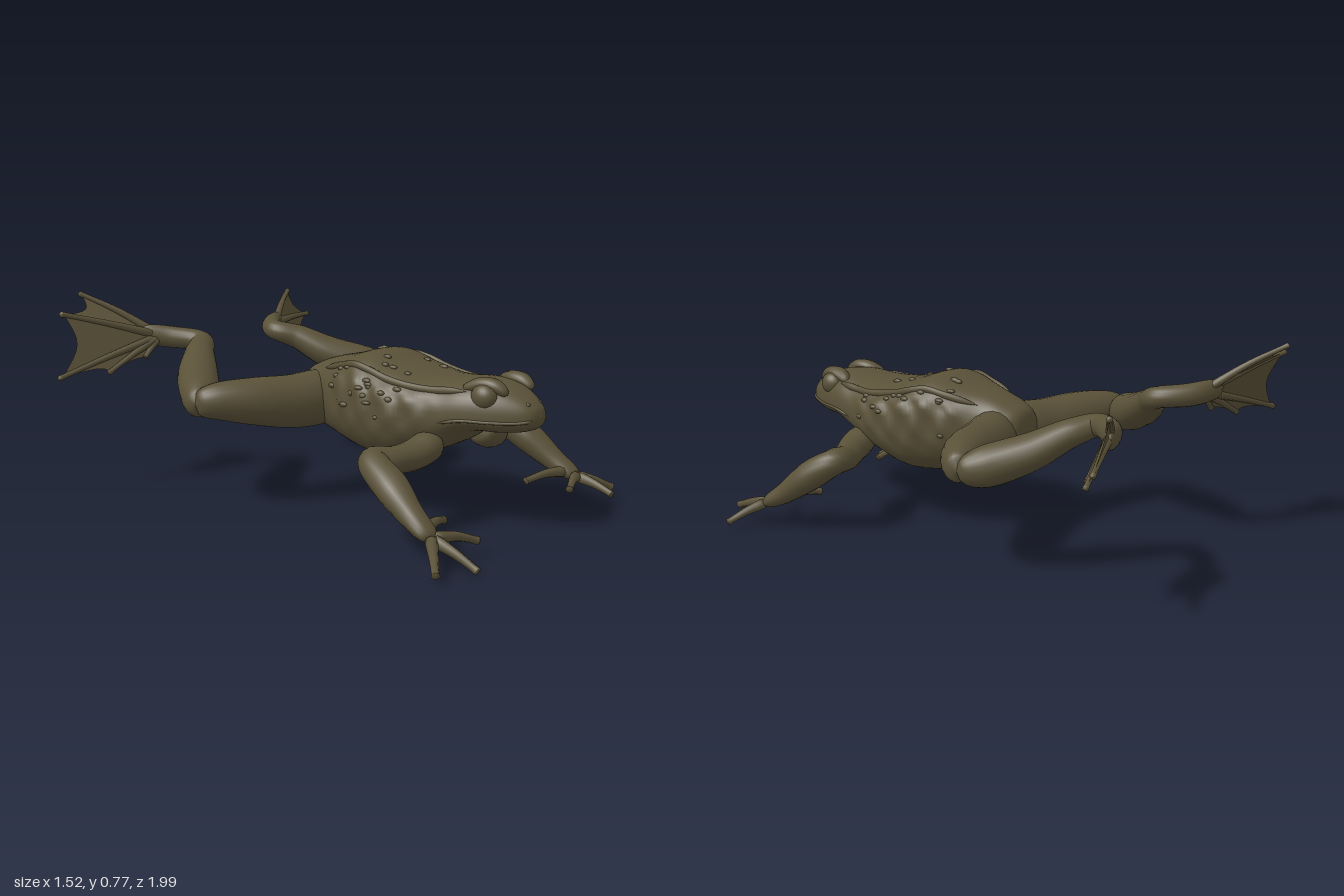
import * as THREE from 'three';

const skin = new THREE.MeshStandardMaterial({ color: 0x5a5138, roughness: 0.85 });
const webSkin = new THREE.MeshStandardMaterial({ color: 0x5a5138, roughness: 0.85, side: THREE.DoubleSide });
const V = (p) => new THREE.Vector3(...p);
const mix = (a, b, k) => V(a).lerp(V(b), k).toArray();
const spline = (pts) => new THREE.CatmullRomCurve3(pts.map(V), false, 'catmullrom', 0.5);

function addMesh(parent, name, geo, mat = skin) {
  const m = new THREE.Mesh(geo, mat);
  m.name = name;
  parent.add(m);
  return m;
}

function buildGeometry(pos, idx) {
  const g = new THREE.BufferGeometry();
  g.setAttribute('position', new THREE.Float32BufferAttribute(pos, 3));
  g.setIndex(idx);
  g.computeVertexNormals();
  return g;
}

// Skin a tube over closed cross-sections; point(t, a) gives the surface.
function loft(point, steps, sides) {
  const pos = [], idx = [];
  for (let i = 0; i <= steps; i++) {
    for (let j = 0; j < sides; j++) {
      pos.push(...point(i / steps, (j / sides) * Math.PI * 2).toArray());
      if (i === steps) continue;
      const a = i * sides + j, b = i * sides + ((j + 1) % sides);
      idx.push(a, a + sides, b, b, a + sides, b + sides);
    }
  }
  return buildGeometry(pos, idx);
}

// Limb from [x, y, z, sideRadius, upRadius] stations, with rounded ends.
function limb(stations, steps = 28, sides = 14) {
  const path = spline(stations.map((s) => s.slice(0, 3)));
  const radii = spline(stations.map((s) => [s[3], s[4] ?? s[3], 0]));
  const up = new THREE.Vector3(0, 1, 0);
  return loft((t, a) => {
    const T = path.getTangent(t), r = radii.getPoint(t);
    const side = T.clone().cross(up).normalize(), top = side.clone().cross(T);
    const end = Math.sqrt(Math.max(0, 1 - Math.pow(Math.abs(2 * t - 1), 14)));
    return path.getPoint(t)
      .addScaledVector(side, Math.cos(a) * r.x * end)
      .addScaledVector(top, Math.sin(a) * r.y * end);
  }, steps, sides);
}

// Body stations from snout to rump: z, half width, widest y, bottom y, top y
const BODY = [
  [0.9, 0, 0.435, 0.435, 0.435], [0.885, 0.048, 0.43, 0.398, 0.472], [0.84, 0.088, 0.425, 0.378, 0.508],
  [0.76, 0.132, 0.425, 0.368, 0.542], [0.66, 0.168, 0.425, 0.36, 0.552], [0.56, 0.188, 0.41, 0.3, 0.545],
  [0.45, 0.215, 0.4, 0.25, 0.545], [0.32, 0.23, 0.4, 0.208, 0.572], [0.2, 0.222, 0.42, 0.212, 0.605],
  [0.08, 0.185, 0.42, 0.235, 0.578], [-0.03, 0.14, 0.42, 0.262, 0.553], [-0.11, 0.12, 0.41, 0.285, 0.525],
  [-0.165, 0.08, 0.4, 0.31, 0.49], [-0.18, 0, 0.41, 0.41, 0.41],
];
const bodyA = spline(BODY.map((s) => [s[0], s[1], s[2]]));
const bodyB = spline(BODY.map((s) => [s[3], s[4], 0]));

function bodyPoint(t, a) {
  const A = bodyA.getPoint(t), B = bodyB.getPoint(t);
  const c = Math.cos(a), s = Math.sin(a);
  // loose, lumpy skin on the flanks and a squarer, flatter back behind the head
  const trunk = THREE.MathUtils.smoothstep(t, 0.35, 0.5) * (1 - THREE.MathUtils.smoothstep(t, 0.66, 0.78));
  const flank = Math.max(0, 1 - Math.abs(s - 0.2) * 1.4) * trunk;
  const w = Math.max(0, A.y) * (1 + flank * (0.02 + 0.06 * Math.sin(t * 85 + 3 * s) * Math.cos(a * 9)));
  const h = s > 0 ? (B.y - A.z) * Math.pow(s, 0.85 - 0.2 * trunk) : (B.x - A.z) * Math.pow(-s, 0.9);
  return new THREE.Vector3(w * Math.sign(c) * Math.pow(Math.abs(c), 0.8), A.z + h, A.x);
}

function ridge(t0, t1, angle, r) {
  const st = [];
  for (let i = 0; i <= 10; i++) {
    const t = t0 + ((t1 - t0) * i) / 10;
    st.push([...bodyPoint(t, angle).toArray(), i === 0 || i === 10 ? r * 0.3 : r]);
  }
  return limb(st, 40, 8);
}

// Arched digit with a slightly swollen tip
function digit(base, tip, r, lift) {
  const at = (k, y) => V(mix(base, tip, k)).add(new THREE.Vector3(0, y, 0)).toArray();
  return limb([[...base, r * 1.6], [...at(0.5, lift), r * 1.1], [...at(0.88, lift * 0.4), r * 0.85], [...tip, r * 1.1]], 16, 8);
}

// Web between neighbouring toes, with a hollow outer edge
function web(base, a, b, reach) {
  const n = 8, pos = [], idx = [];
  for (let i = 0; i <= n; i++) {
    const k = i / n, pull = 0.95 - (0.95 - reach) * Math.sin(Math.PI * k);
    const edge = mix(base, mix(a, b, k), pull);
    for (const q of [0, 0.5, 1]) pos.push(...mix(base, edge, q));
    if (i < n) for (let j = 0; j < 2; j++) {
      const p = i * 3 + j;
      idx.push(p, p + 1, p + 3, p + 1, p + 4, p + 3);
    }
  }
  return buildGeometry(pos, idx);
}

// The two sides are posed differently
const SIDES = [
  {
    name: 'left', s: 1,
    elbow: [0.425, 0.29, 0.44], mid: [0.47, 0.228, 0.53], wrist: [0.498, 0.145, 0.64], palm: [0.518, 0.09, 0.735],
    fingers: [[0.665, 0.033, 0.8], [0.512, 0.05, 0.892], [0.352, 0.085, 0.8], [0.298, 0.1, 0.635]],
    ankle: [0.24, 0.565, -0.635], tarsus: [0.32, 0.572, -0.735], sole: [0.44, 0.575, -0.805],
    toes: [[0.563, 0.69, -0.875], [0.757, 0.558, -0.935], [0.63, 0.465, -0.83], [0.55, 0.46, -0.785], [0.47, 0.5, -0.765]],
  },
  {
    name: 'right', s: -1,
    elbow: [-0.42, 0.285, 0.49], mid: [-0.462, 0.222, 0.61], wrist: [-0.488, 0.15, 0.72], palm: [-0.502, 0.09, 0.82],
    fingers: [[-0.642, 0.027, 0.942], [-0.482, 0.014, 0.993], [-0.315, 0.055, 0.868], [-0.303, 0.095, 0.71]],
    ankle: [-0.215, 0.572, -0.615], tarsus: [-0.275, 0.585, -0.72], sole: [-0.385, 0.605, -0.8],
    toes: [[-0.533, 0.765, -0.992], [-0.692, 0.704, -0.91], [-0.762, 0.46, -0.84], [-0.565, 0.465, -0.775], [-0.4, 0.51, -0.745]],
  },
];

export function createModel() {
  const frog = new THREE.Group();
  frog.name = 'frog';
  addMesh(frog, 'body', loft(bodyPoint, 110, 48));

  for (const d of SIDES) {
    const { s, name } = d;
    const flip = (a) => (s > 0 ? a : Math.PI - a);

    // Head details: eye, lid, nostril and lip
    const eye = addMesh(frog, name + 'Eye', new THREE.SphereGeometry(1, 24, 16));
    eye.position.set(s * 0.108, 0.503, 0.73);
    eye.scale.set(0.04, 0.046, 0.05);
    addMesh(frog, name + 'EyeLid', limb([[s * 0.078, 0.515, 0.81, 0.014], [s * 0.084, 0.54, 0.76, 0.03, 0.026],
      [s * 0.092, 0.54, 0.7, 0.032, 0.026], [s * 0.115, 0.52, 0.64, 0.014]], 20, 12));
    const nostril = addMesh(frog, name + 'Nostril', new THREE.SphereGeometry(0.009, 10, 8));
    nostril.position.set(s * 0.035, 0.48, 0.865);
    addMesh(frog, name + 'Lip', ridge(0.06, 0.37, flip(-0.12), 0.006));

    // Fold of skin along the back
    addMesh(frog, name + 'BackFold', ridge(0.3, 0.76, flip(0.75), 0.014));

    // Arm and hand
    const arm = new THREE.Group();
    arm.name = name + 'Arm';
    frog.add(arm);
    addMesh(arm, 'arm', limb([[s * 0.12, 0.325, 0.535, 0.07, 0.065], [s * 0.23, 0.285, 0.52, 0.062, 0.056],
      [s * 0.34, 0.282, d.elbow[2] + 0.02, 0.055, 0.05], [...d.elbow, 0.055, 0.052], [...d.mid, 0.064, 0.058],
      [...d.wrist, 0.048, 0.042], [...d.palm, 0.048, 0.028]], 60, 16));
    d.fingers.forEach((f, i) => {
      const root = mix(d.palm, d.wrist, i === 3 ? 0.4 : 0.1);
      addMesh(arm, 'finger', digit(root, f, 0.016, i > 1 ? 0.012 : 0.006));
    });

    // Thigh, shin and webbed foot
    const leg = new THREE.Group();
    leg.name = name + 'Leg';
    frog.add(leg);
    addMesh(leg, 'thigh', limb([[s * 0.02, 0.4, -0.06, 0.1, 0.115], [s * 0.2, 0.39, -0.105, 0.1, 0.105],
      [s * 0.36, 0.406, -0.157, 0.092, 0.092], [s * 0.48, 0.417, -0.215, 0.072, 0.074],
      [s * 0.565, 0.41, -0.265, 0.042, 0.052]], 36, 20));
    addMesh(leg, 'shinAndFoot', limb([[s * 0.565, 0.41, -0.262, 0.042, 0.052], [s * 0.48, 0.42, -0.33, 0.074, 0.076],
      [s * 0.38, 0.47, -0.45, 0.08, 0.068], [d.ankle[0] + s * 0.06, 0.535, -0.555, 0.06, 0.052], [...d.ankle, 0.046, 0.042],
      [...d.tarsus, 0.04, 0.044], [...d.sole, 0.016, 0.045]], 64, 18));
    const root = mix(d.tarsus, d.sole, 0.35);
    d.toes.forEach((t, i) => {
      addMesh(leg, 'toe', digit(root, t, 0.012, i ? 0.004 : 0.012));
      if (i) addMesh(leg, 'web', web(root, d.toes[i - 1], t, 0.82), webSkin);
    });
  }

  // Low warts scattered over the back and flanks
  let seed = 7;
  const rnd = () => (seed = (seed * 16807) % 2147483647) / 2147483647;
  const wartGeo = new THREE.SphereGeometry(1, 10, 8);
  for (let i = 0; i < 40; i++) {
    const a = -0.1 + rnd() * (i < 24 ? 0.8 : 1.6);
    const wart = addMesh(frog, 'wart', wartGeo);
    wart.position.copy(bodyPoint(0.42 + rnd() * 0.28, i % 2 ? Math.PI - a : a));
    wart.position.x *= 0.98;
    wart.scale.set(0.011, 0.008 + rnd() * 0.004, 0.012 + rnd() * 0.01);
  }
  return frog;
}
